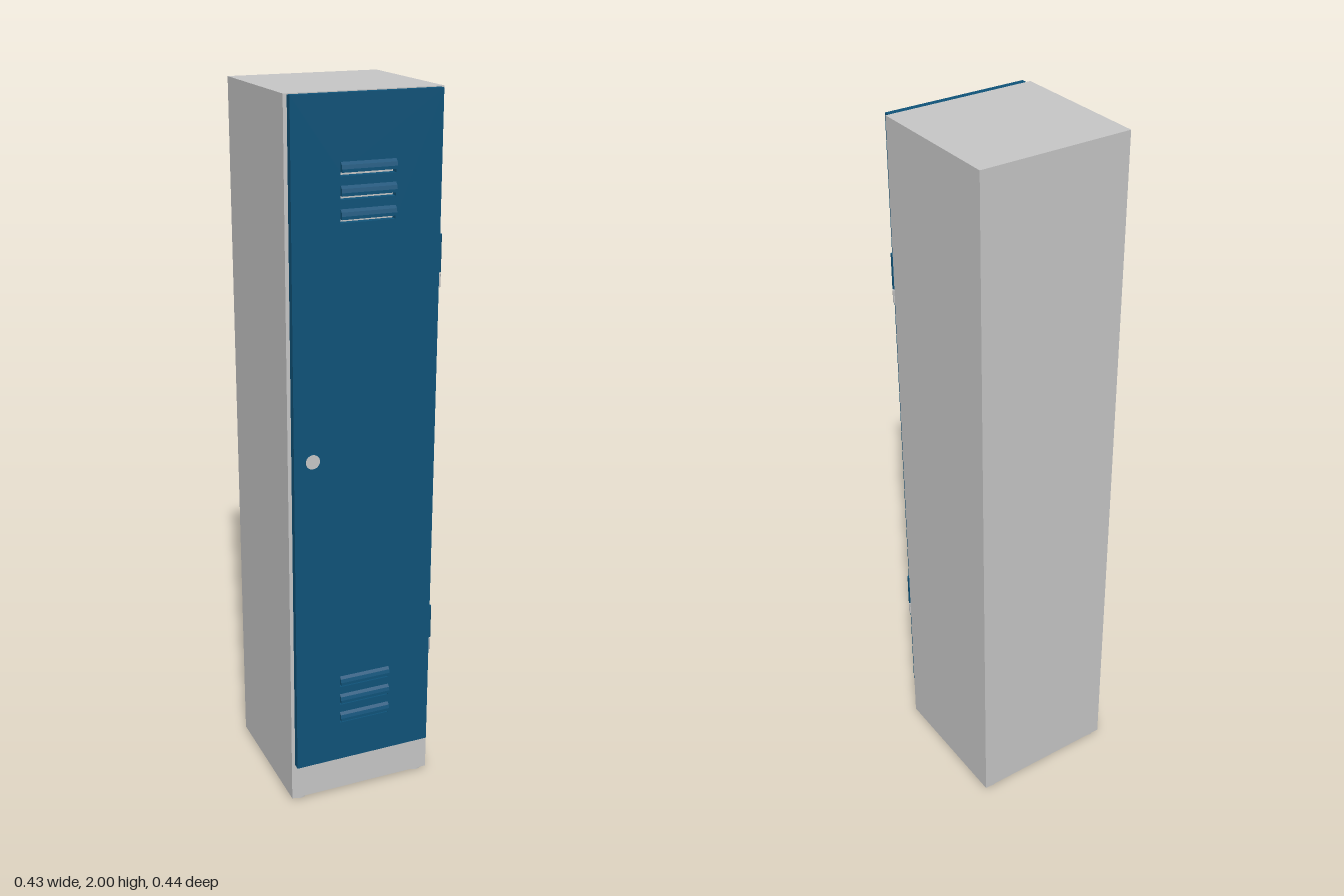
import * as THREE from 'three';

export function createModel() {
  const locker = new THREE.Group();
  locker.name = 'locker';
  const gray = new THREE.MeshStandardMaterial({ color: 0xc6c6c6 });
  gray.name = 'light gray steel';
  const blue = new THREE.MeshStandardMaterial({ color: 0x0f5278 });
  blue.name = 'blue paint';

  const add = (name, geometry, material, x, y, z) => {
    const mesh = new THREE.Mesh(geometry, material);
    mesh.name = name;
    mesh.position.set(x, y, z);
    locker.add(mesh);
    return mesh;
  };
  const rect = (path, x0, y0, x1, y1) => {
    path.moveTo(x0, y0);
    path.lineTo(x1, y0);
    path.lineTo(x1, y1);
    path.lineTo(x0, y1);
    path.closePath();
    return path;
  };

  // Cabinet and its low corner feet
  add('cabinet', new THREE.BoxGeometry(0.428, 1.992, 0.408), gray, -0.001, 1.004, -0.018);
  for (const x of [-0.187, 0.185]) {
    for (const z of [-0.194, 0.158]) {
      add('foot', new THREE.CylinderGeometry(0.024, 0.024, 0.01, 24), gray, x, 0.005, z);
    }
  }

  // Door skin with ventilation slots cut through it
  const slots = [1.804, 1.746, 1.688, 0.365, 0.307, 0.248];
  const doorShape = rect(new THREE.Shape(), -0.206, 0.122, 0.202, 1.998);
  for (const y of slots) {
    doorShape.holes.push(rect(new THREE.Path(), -0.075, y - 0.005, 0.075, y + 0.005));
  }
  const skin = new THREE.ExtrudeGeometry(doorShape, { depth: 0.019, bevelEnabled: false });
  add('door', skin, blue, 0, 0, 0.189);

  // Thin stop strip between door and cabinet
  add('doorSeal', new THREE.BoxGeometry(0.38, 1.85, 0.004), gray, 0, 1.06, 0.187);

  // Sloping louvre hoods above the slots
  const hood = new THREE.Shape();
  hood.moveTo(0, 0.005);
  hood.lineTo(0.01, 0.005);
  hood.lineTo(0.01, 0.013);
  hood.lineTo(0.007, 0.023);
  hood.lineTo(0, 0.03);
  hood.closePath();
  const hoodGeometry = new THREE.ExtrudeGeometry(hood, { depth: 0.15, bevelEnabled: false });
  hoodGeometry.rotateY(-Math.PI / 2); // profile outward to +z, length to -x
  for (const y of slots) add('louvreHood', hoodGeometry, blue, 0.075, y, 0.208);

  // Lock: blue collar with a gray face
  const collar = add('lockCollar', new THREE.CylinderGeometry(0.021, 0.021, 0.004, 32), blue, -0.154, 1.06, 0.209);
  const face = add('lockFace', new THREE.CylinderGeometry(0.02, 0.02, 0.001, 32), gray, -0.154, 1.06, 0.211);
  collar.rotation.x = face.rotation.x = Math.PI / 2;

  // Hinges: blue upper knuckle on the door, gray lower knuckle on the cabinet
  for (const y of [1.49, 0.415]) {
    add('hingeUpperKnuckle', new THREE.CylinderGeometry(0.0065, 0.0065, 0.1, 20), blue, 0.2075, y + 0.09, 0.193);
    add('hingeLeaf', new THREE.BoxGeometry(0.007, 0.1, 0.012), blue, 0.203, y + 0.09, 0.194);
    add('hingeLowerKnuckle', new THREE.CylinderGeometry(0.0065, 0.0065, 0.036, 20), gray, 0.2075, y + 0.018, 0.193);
  }
  return locker;
}
